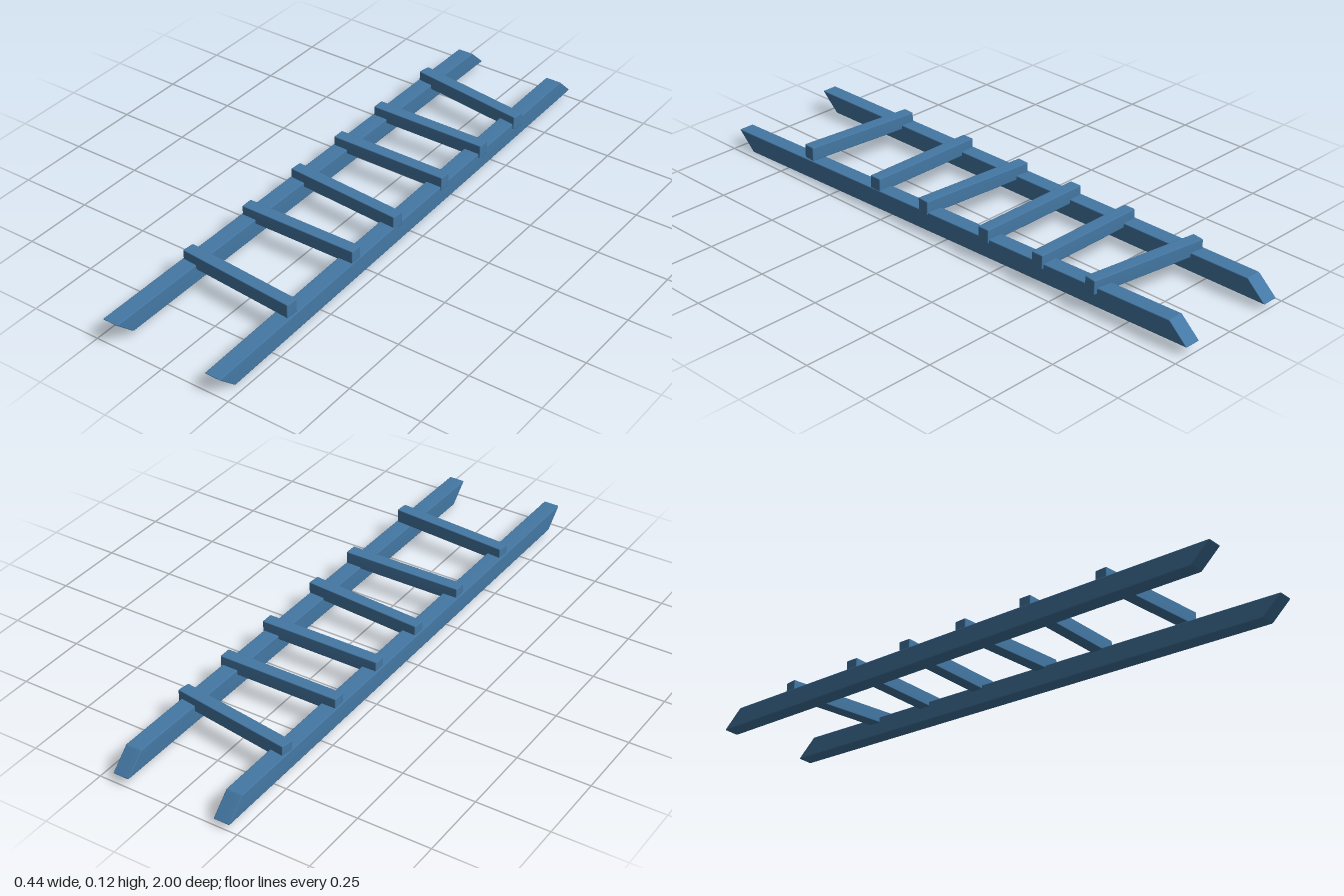
import * as THREE from 'three';
import { RoundedBoxGeometry } from 'three/addons/geometries/RoundedBoxGeometry.js';
import { mergeVertices } from 'three/addons/utils/BufferGeometryUtils.js';

const material = new THREE.MeshStandardMaterial({ color: 0x4478a4 });

// Beam with tiny bevels and smooth normals; rule(p) moves each vertex
function beam(name, w, h, d, rule) {
  const geo = new RoundedBoxGeometry(w, h, d, 1, 0.003);
  const pos = geo.attributes.position;
  const p = new THREE.Vector3();
  for (let i = 0; i < pos.count; i++) {
    rule(p.fromBufferAttribute(pos, i));
    pos.setXYZ(i, p.x, p.y, p.z);
  }
  geo.deleteAttribute('normal');
  geo.deleteAttribute('uv');
  const smooth = mergeVertices(geo, 1e-5);
  smooth.computeVertexNormals();
  const mesh = new THREE.Mesh(smooth, material);
  mesh.name = name;
  return mesh;
}

// Rail with slanted ends, running between a back and a front centre [x, y]
function rail(name, back, front) {
  const h = 0.065;
  return beam(name, 0.057, h, 1.93, (p) => {
    const t = p.z / 1.93 + 0.5;
    p.z += (p.y / h) * 0.07;
    p.x += THREE.MathUtils.lerp(back[0], front[0], t);
    p.y += THREE.MathUtils.lerp(back[1], front[1], t);
  });
}

export function createModel() {
  const ladder = new THREE.Group();
  ladder.name = 'ladder';

  // The left rail is slightly crooked, the right one straight
  ladder.add(rail('rightRail', [-0.194, 0.054], [-0.194, 0.054]));
  ladder.add(rail('leftRail', [0.1715, 0.0635], [0.193, 0.033]));

  // Rungs: z at the right end, z at the left end
  const rungs = [
    [-0.695, -0.63], [-0.414, -0.414], [-0.183, -0.183],
    [0.053, 0.088], [0.313, 0.313], [0.605, 0.642],
  ];
  rungs.forEach(([zRight, zLeft], i) => {
    const dx = 0.43, dz = zLeft - zRight;
    const rung = beam(`rung${i + 1}`, Math.hypot(dx, dz), 0.049, 0.044, () => {});
    rung.position.set(-0.003, 0.095, (zRight + zLeft) / 2);
    rung.rotation.y = -Math.atan2(dz, dx);
    ladder.add(rung);
  });

  return ladder;
}
